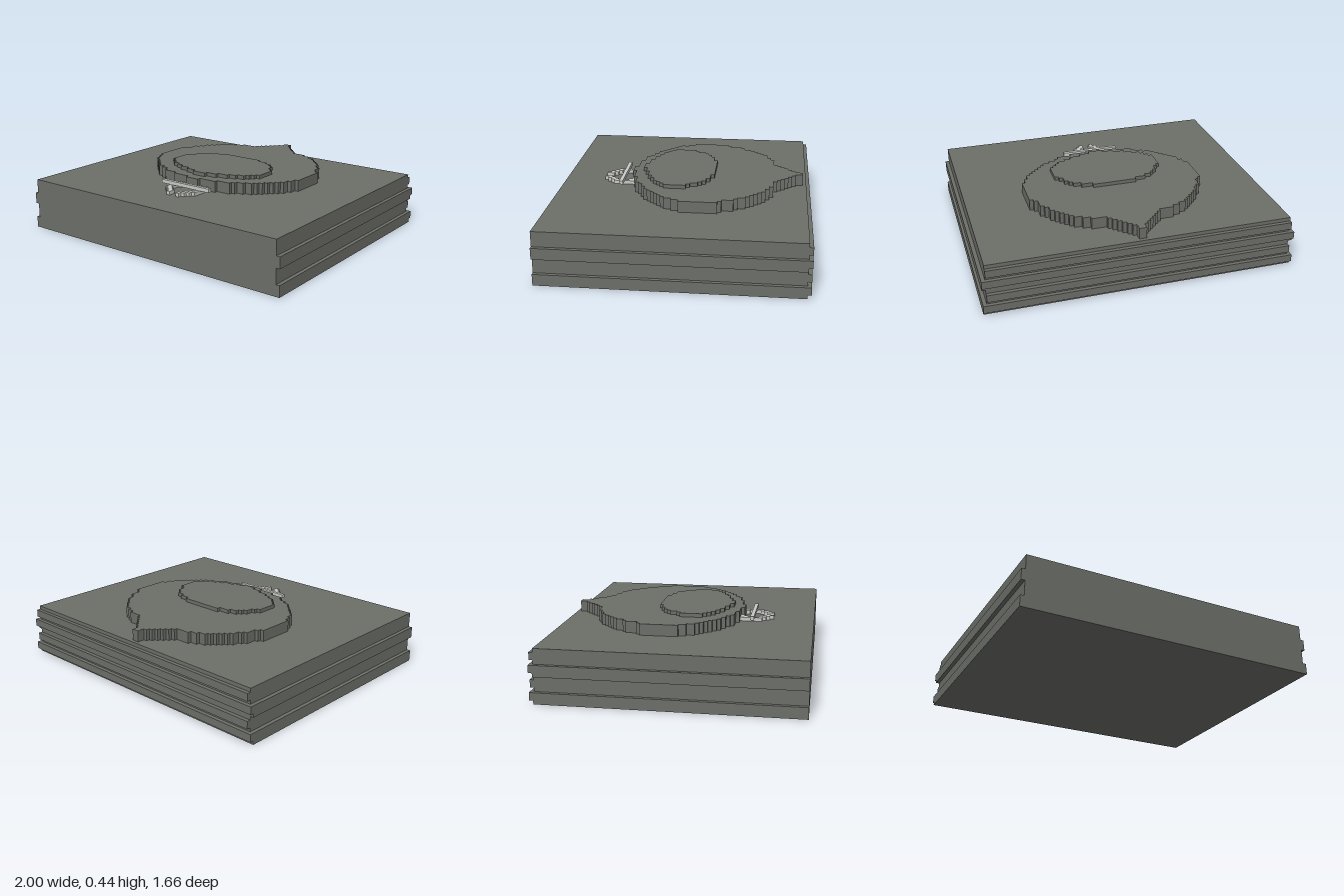
import * as THREE from 'three';

const U = 2 / 82; // one grid step

export function createModel() {
  const model = new THREE.Group();
  const stone = new THREE.MeshStandardMaterial({ color: 0x6c6e68 });
  stone.name = 'dark grey stone';
  const pale = new THREE.MeshStandardMaterial({ color: 0xc8c9c5 });
  pale.name = 'pale grey';

  // Box given by its edges in grid steps
  function block(name, material, x0, x1, y0, y1, z0, z1, parent = model) {
    const geometry = new THREE.BoxGeometry((x1 - x0) * U, (y1 - y0) * U, (z1 - z0) * U);
    const mesh = new THREE.Mesh(geometry, material);
    mesh.position.set((x0 + x1) / 2 * U, (y0 + y1) / 2 * U, (z0 + z1) / 2 * U);
    mesh.name = name;
    parent.add(mesh);
  }

  // Mirrored stepped plate: rows of [back z of row, half width]
  function steppedPlate(name, rows, zEnd, y0, y1) {
    const right = [];
    rows.forEach(([z, half], i) => {
      const next = i + 1 < rows.length ? rows[i + 1][0] : zEnd;
      right.push([half, z], [half, next]);
    });
    const left = right.map(([x, z]) => [-x, z]).reverse();
    const shape = new THREE.Shape([...right, ...left].map(([x, z]) => new THREE.Vector2(x * U, -z * U)));
    const geometry = new THREE.ExtrudeGeometry(shape, { depth: (y1 - y0) * U, bevelEnabled: false });
    geometry.rotateX(-Math.PI / 2);
    const mesh = new THREE.Mesh(geometry, stone);
    mesh.position.y = y0 * U;
    mesh.name = name;
    model.add(mesh);
  }

  // Base slab with ridges along the sides and the back
  block('base', stone, -40, 40, 0, 14, -33, 34);
  for (const [y0, y1] of [[0, 3], [7, 10]]) {
    block('leftRidge', stone, 40, 41, y0, y1, -33, 34);
    block('rightRidge', stone, -41, -40, y0, y1, -33, 34);
  }
  for (const [y0, y1, half] of [[1, 3, 41], [4, 6, 40], [8, 10, 41], [11, 13, 40]]) {
    block('backRidge', stone, -half, half, y0, y1, -34, -33);
  }

  // Pointed body and the low oval on top of it
  steppedPlate('pointedBody', [
    [-32, 1], [-30, 2], [-29, 3], [-28, 4], [-27, 5], [-26, 6], [-25, 7], [-24, 11],
    [-23, 13], [-22, 15], [-21, 16], [-20, 17], [-19, 18], [-18, 19], [-17, 20],
    [-15, 21], [-14, 22], [-11, 23], [-10, 24], [0, 23], [2, 22], [4, 21], [5, 20],
    [6, 19], [7, 18], [8, 17], [9, 16], [10, 14], [11, 12], [12, 11], [13, 7], [14, 2],
  ], 15, 14, 17);
  steppedPlate('ovalTop', [
    [-8, 6], [-7, 9], [-6, 11], [-5, 12], [-4, 13], [-2, 14], [-1, 15],
    [5, 14], [6, 13], [7, 12], [8, 10], [9, 8], [10, 5], [11, 2],
  ], 12, 17, 18);

  // Two curved prongs: rows of [z, inner x, outer x], one step deep each
  const prongRows = [
    [14, 2, 5], [15, 3, 5], [16, 4, 5], [17, 4, 5], [18, 4, 5],
    [19, 3, 5], [20, 2, 4], [21, 1, 3], [22, 1, 2],
  ];
  for (const side of [1, -1]) {
    const prong = new THREE.Group();
    prong.name = side > 0 ? 'leftProng' : 'rightProng';
    for (const [z, a, b] of prongRows) {
      block('prongStep', pale, Math.min(side * a, side * b), Math.max(side * a, side * b), 14, 15, z, z + 1, prong);
    }
    model.add(prong);
  }

  // Bar lying across the prongs
  block('crossbar', pale, -8, 8, 15, 16, 17, 18);

  return model;
}
